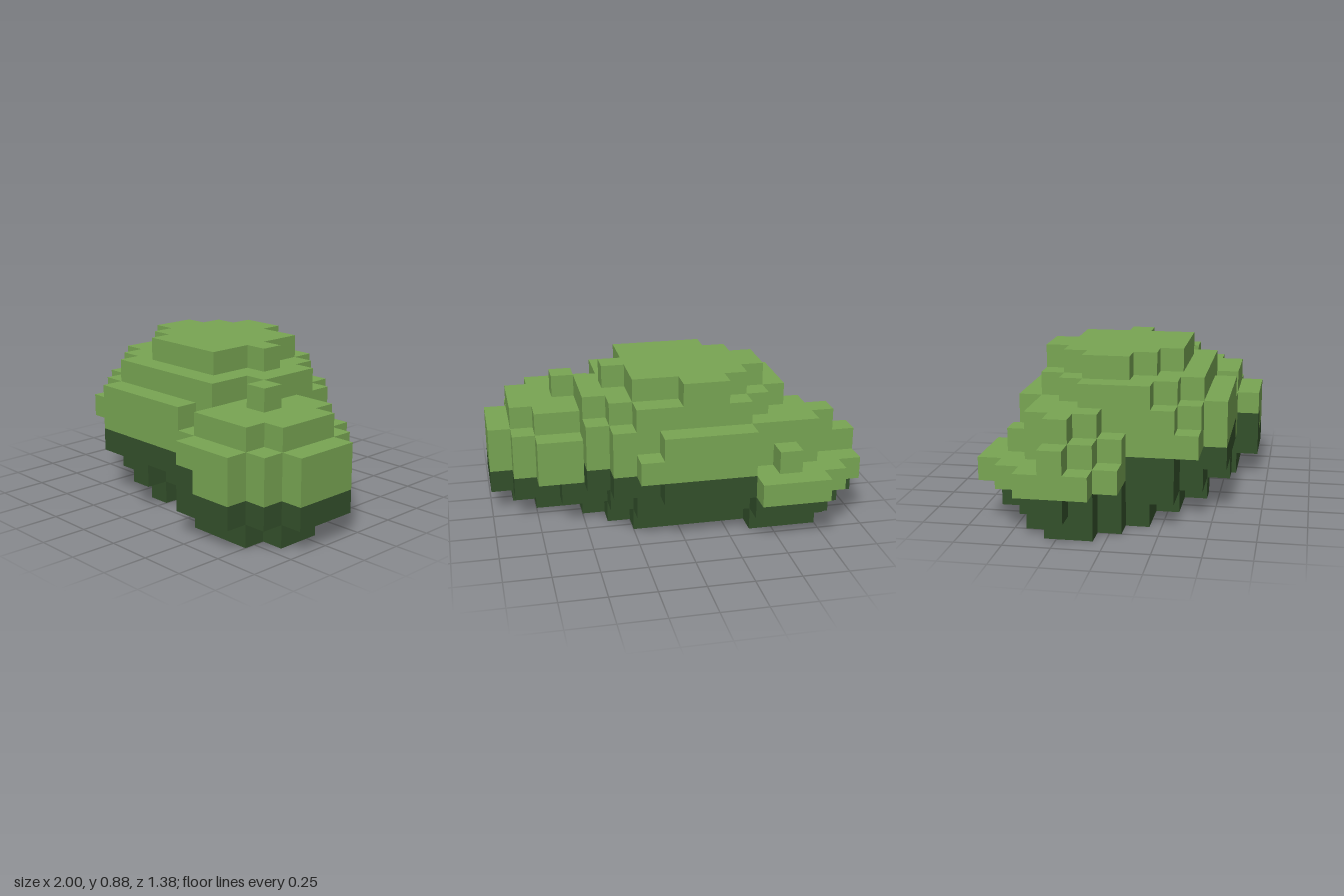
import * as THREE from 'three';
import { mergeVertices } from 'three/addons/utils/BufferGeometryUtils.js';

const S = 0.125;   // block size
const X0 = -1, Z0 = -0.6875;

const leaf = new THREE.MeshStandardMaterial({ color: 0x78a553 });
leaf.name = 'leaf green';
const shade = new THREE.MeshStandardMaterial({ color: 0x33502b });
shade.name = 'deep green';

// Each layer, bottom to top: first row from the back, then per row the
// first and last block (a second pair starts a separate run).
const LAYERS = [
  { name: 'base', from: 2, rows: [[2, 4], [1, 9], [1, 10], [2, 11], [3, 13], [5, 14], [7, 7, 11, 14], [11, 13]] },
  { name: 'lowerBush', from: 1, rows: [[2, 4], [1, 9], [0, 10], [1, 12], [2, 14], [3, 15], [3, 15], [5, 15], [7, 7, 11, 14], [11, 13]] },
  { name: 'lowerLeaves', from: 0, rows: [[2, 4], [1, 8], [0, 10], [0, 11], [0, 13], [1, 14], [3, 15], [3, 15], [5, 15], [5, 14], [11, 13]] },
  { name: 'middleLeaves', from: 1, rows: [[3, 3, 5, 9], [2, 10], [0, 11], [1, 13], [2, 14], [3, 15], [3, 15], [3, 15], [5, 14], [11, 13]] },
  { name: 'upperLeaves', from: 1, rows: [[5, 8], [2, 10], [1, 11], [2, 11], [3, 13], [3, 14], [3, 14], [4, 14], [5, 9, 11, 13]] },
  { name: 'crownStep', from: 2, rows: [[5, 9], [4, 10], [3, 11], [3, 11], [3, 11], [4, 10, 12, 12], [5, 10]] },
  { name: 'crownTop', from: 2, rows: [[6, 7], [5, 9], [4, 9], [4, 10], [5, 9], [6, 9]] },
];

function filled(i, j, k) {
  const layer = LAYERS[j];
  const row = layer && layer.rows[k - layer.from];
  if (!row) return false;
  for (let n = 0; n < row.length; n += 2) if (i >= row[n] && i <= row[n + 1]) return true;
  return false;
}

// Dark undergrowth fills the two lowest layers and climbs into the recesses
function isDark(i, j, k) {
  if (j < 2) return true;
  if (j > 2 || k === 0) return false;
  if (k <= 3) return i >= 5;
  return (i >= 3 && i <= 9) || (i === 11 && k === 10);
}

// Directions with two in-plane axes u, v such that u x v is the outward normal
const SIDES = [
  { n: [1, 0, 0], u: [0, 1, 0], v: [0, 0, 1] },
  { n: [-1, 0, 0], u: [0, 0, 1], v: [0, 1, 0] },
  { n: [0, 1, 0], u: [0, 0, 1], v: [1, 0, 0] },
  { n: [0, -1, 0], u: [1, 0, 0], v: [0, 0, 1] },
  { n: [0, 0, 1], u: [1, 0, 0], v: [0, 1, 0] },
  { n: [0, 0, -1], u: [0, 1, 0], v: [1, 0, 0] },
];

// Add the two triangles of one exposed block face
function addFace(out, cell, { n, u, v }) {
  const corner = (a, b) => cell.map((c, d) =>
    (c + Math.max(n[d], 0) + a * u[d] + b * v[d]) * S + [X0, 0, Z0][d]);
  const quad = [corner(0, 0), corner(1, 0), corner(1, 1), corner(0, 1)];
  for (const q of [0, 1, 2, 0, 2, 3]) {
    out.pos.push(...quad[q]);
    out.nor.push(...n);
  }
}

function toMesh(out, material, name) {
  const geo = new THREE.BufferGeometry();
  geo.setAttribute('position', new THREE.Float32BufferAttribute(out.pos, 3));
  geo.setAttribute('normal', new THREE.Float32BufferAttribute(out.nor, 3));
  const mesh = new THREE.Mesh(mergeVertices(geo), material);
  mesh.name = name;
  return mesh;
}

export function createModel() {
  const group = new THREE.Group();
  group.name = 'bush';
  LAYERS.forEach((layer, j) => {
    const light = { pos: [], nor: [] };
    const dark = { pos: [], nor: [] };
    layer.rows.forEach((row, r) => {
      const k = layer.from + r;
      for (let i = 0; i < 16; i++) {
        if (!filled(i, j, k)) continue;
        for (const side of SIDES) {
          const [dx, dy, dz] = side.n;
          if (filled(i + dx, j + dy, k + dz)) continue;
          // The face resting on the ground is leaf green
          const ground = j === 0 && dy < 0;
          addFace(isDark(i, j, k) && !ground ? dark : light, [i, j, k], side);
        }
      }
    });
    if (light.pos.length) group.add(toMesh(light, leaf, layer.name));
    if (dark.pos.length) group.add(toMesh(dark, shade, layer.name + 'Shade'));
  });
  return group;
}
